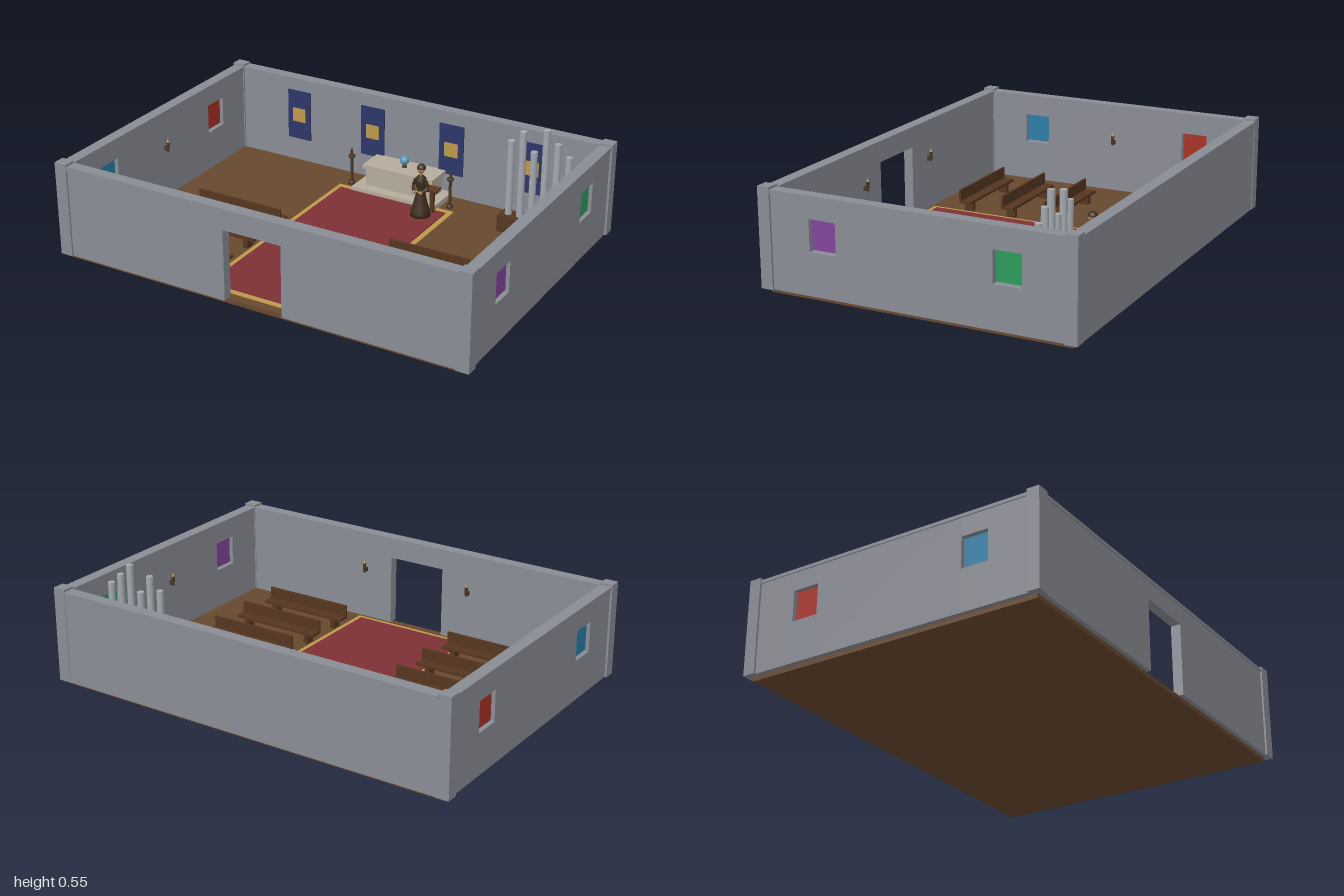
import * as THREE from 'three';

const mat = (color) => new THREE.MeshStandardMaterial({ color });
const stone = mat(0x8a8c94), wood = mat(0x67482e), darkWood = mat(0x553620), red = mat(0x7e3035),
  gold = mat(0xbd984c), marble = mat(0xb5ac9c), blue = mat(0x2c3668), metal = mat(0xa4a8ae),
  bronze = mat(0x4a3826), robe = mat(0x3c2c1c), skin = mat(0xb08058), orbBlue = mat(0x5a9ab8);

function add(parent, name, geometry, material, x = 0, y = 0, z = 0) {
  const m = new THREE.Mesh(geometry, material);
  m.name = name;
  m.position.set(x, y, z);
  parent.add(m);
  return m;
}

// Box given by its minimum and maximum on each axis
function box(parent, name, material, x0, x1, y0, y1, z0, z1) {
  return add(parent, name, new THREE.BoxGeometry(x1 - x0, y1 - y0, z1 - z0), material,
    (x0 + x1) / 2, (y0 + y1) / 2, (z0 + z1) / 2);
}

function group(parent, name, x = 0, y = 0, z = 0) {
  const g = new THREE.Group();
  g.name = name;
  g.position.set(x, y, z);
  parent.add(g);
  return g;
}

const lathe = (pts, sides = 12) =>
  new THREE.LatheGeometry(pts.map(([r, y]) => new THREE.Vector2(r, y)), sides);

function buildWalls(root) {
  const g = group(root, 'walls');
  const B = 0.02, T = 0.435, top = 0.45;
  box(g, 'backWall', stone, -0.945, 0.945, B, T, -0.715, -0.67);
  box(g, 'backCoping', stone, -0.945, 0.945, T, top, -0.72, -0.665);
  box(g, 'frontCoping', stone, -0.945, 0.945, T, top, 0.66, 0.715);
  box(g, 'doorLintel', stone, -0.14, 0.14, 0.35, T, 0.665, 0.71);
  for (const s of [-1, 1]) {
    const a = s < 0 ? -0.945 : 0.14;
    box(g, 'frontWall', stone, a, a + 0.805, B, T, 0.665, 0.71);

    // Side wall, split around its two window openings
    const x0 = s < 0 ? -0.99 : 0.945, x1 = x0 + 0.045;
    for (const [z0, z1] of [[-0.67, -0.48], [-0.355, 0.355], [0.48, 0.67]])
      box(g, 'sideWall', stone, x0, x1, B, T, z0, z1);
    const glass = s > 0 ? [0x2e9a5c, 0x82459a] : [0xa83226, 0x2b7ca6];
    [[-0.48, -0.355], [0.355, 0.48]].forEach(([z0, z1], i) => {
      box(g, 'wallBelowWindow', stone, x0, x1, B, 0.21, z0, z1);
      box(g, 'wallAboveWindow', stone, x0, x1, 0.35, T, z0, z1);
      box(g, 'windowPane', mat(glass[i]), s * 0.9675 - 0.008, s * 0.9675 + 0.008,
        0.217, 0.345, z0 + 0.006, z1 - 0.006);
    });
    box(g, 'sideCoping', stone, s * 0.9675 - 0.0275, s * 0.9675 + 0.0275, T, top, -0.67, 0.67);
    for (const t of [-1, 1])
      box(g, 'cornerPost', stone, s * 0.97 - 0.03, s * 0.97 + 0.03, B, 0.46, t * 0.69 - 0.028, t * 0.69 + 0.028);
  }
}

function buildPew(root, x, z) {
  const g = group(root, 'pew', x, 0.02, z);
  box(g, 'seat', darkWood, -0.22, 0.22, 0.045, 0.057, -0.03, 0.03);
  box(g, 'backrest', darkWood, -0.22, 0.22, 0.057, 0.11, 0.02, 0.031);
  for (const s of [-1, 1])
    box(g, 'leg', darkWood, s * 0.17 - 0.012, s * 0.17 + 0.012, 0, 0.045, -0.022, 0.022);
}

// Wall torch whose bracket points along local -z into the wall
function buildSconce(root, x, z, turn) {
  const g = group(root, 'wallTorch', x, 0.275, z);
  g.rotation.y = turn;
  box(g, 'bracket', bronze, -0.008, 0.008, -0.02, 0.0, -0.015, 0.005);
  add(g, 'torch', new THREE.CylinderGeometry(0.009, 0.005, 0.045, 8), bronze, 0, 0, 0.004);
  add(g, 'flame', new THREE.ConeGeometry(0.007, 0.02, 8), gold, 0, 0.032, 0.004);
}

function buildFigure(root) {
  const g = group(root, 'robedFigure', 0.19, 0.03, -0.405);
  add(g, 'robe', lathe([[0, 0], [0.048, 0], [0.045, 0.02], [0.026, 0.09], [0.019, 0.125],
    [0.024, 0.165], [0.026, 0.185], [0.012, 0.2], [0, 0.202]], 14), robe);
  add(g, 'belt', new THREE.TorusGeometry(0.02, 0.004, 6, 14), gold, 0, 0.122, 0).rotation.x = Math.PI / 2;
  add(g, 'neck', new THREE.CylinderGeometry(0.007, 0.008, 0.02, 8), skin, 0, 0.208, 0);
  add(g, 'head', new THREE.SphereGeometry(0.019, 12, 10), skin, 0, 0.23, 0);
  add(g, 'hair', new THREE.SphereGeometry(0.0215, 12, 8, 0, Math.PI * 2, 0, Math.PI * 0.5), robe, 0, 0.234, -0.003);
  for (const s of [-1, 1]) {
    const path = new THREE.CatmullRomCurve3([
      new THREE.Vector3(s * 0.024, 0.18, 0), new THREE.Vector3(s * 0.035, 0.14, 0.005),
      new THREE.Vector3(s * 0.018, 0.125, 0.028)]);
    add(g, 'sleeve', new THREE.TubeGeometry(path, 8, 0.009, 8), robe);
    add(g, 'hand', new THREE.SphereGeometry(0.009, 8, 6), skin, s * 0.016, 0.125, 0.03);
  }
}

export function createModel() {
  const root = new THREE.Group();
  root.name = 'chapel';

  box(root, 'floor', wood, -0.97, 0.97, 0, 0.02, -0.69, 0.69);
  buildWalls(root);

  // Carpet with a gold border
  box(root, 'carpetBorder', gold, -0.305, 0.305, 0.02, 0.024, -0.52, 0.645);
  box(root, 'carpet', red, -0.28, 0.28, 0.024, 0.028, -0.485, 0.62);

  // Altar on its step, with an orb on top
  const altar = group(root, 'altar');
  box(altar, 'altarStep', marble, -0.22, 0.22, 0.02, 0.045, -0.668, -0.48);
  box(altar, 'altarBody', marble, -0.172, 0.172, 0.045, 0.13, -0.66, -0.535);
  box(altar, 'altarSlab', marble, -0.185, 0.185, 0.13, 0.15, -0.668, -0.525);
  add(altar, 'orbStand', new THREE.CylinderGeometry(0.008, 0.013, 0.018, 10), bronze, 0, 0.158, -0.6);
  add(altar, 'orb', new THREE.SphereGeometry(0.022, 16, 12), orbBlue, 0, 0.185, -0.6);

  // Candle stands beside the altar
  for (const s of [-1, 1]) {
    const stand = group(root, 'candleStand', s * 0.263, 0.02, -0.56);
    add(stand, 'standPost', lathe([[0, 0], [0.016, 0], [0.015, 0.012], [0.007, 0.02], [0.007, 0.13],
      [0.016, 0.14], [0.016, 0.15], [0, 0.15]]), bronze);
    add(stand, 'candle', new THREE.CylinderGeometry(0.006, 0.006, 0.03, 8), bronze, 0, 0.165, 0);
  }

  // Banners on the back wall
  for (const x of [-0.62, -0.21, 0.21, 0.62]) {
    box(root, 'banner', blue, x - 0.063, x + 0.063, 0.135, 0.385, -0.67, -0.664);
    box(root, 'bannerPatch', gold, x - 0.035, x + 0.035, 0.225, 0.295, -0.664, -0.661);
  }

  // Pipe organ
  box(root, 'organBase', darkWood, 0.555, 0.91, 0.02, 0.1, -0.53, -0.45);
  [0.46, 0.515, 0.43, 0.545, 0.49, 0.44].forEach((top, i) =>
    add(root, 'organPipe', new THREE.CylinderGeometry(0.016, 0.016, top - 0.1, 12), metal,
      0.593 + i * 0.0555, (top + 0.1) / 2, -0.49));

  // Pews in three rows on each side
  for (const z of [0.025, 0.245, 0.467])
    for (const s of [-1, 1]) buildPew(root, s * 0.5, z);

  // Wall torches
  for (const s of [-1, 1]) {
    buildSconce(root, s * 0.932, 0, -s * Math.PI / 2);
    buildSconce(root, s * 0.28, 0.651, Math.PI);
  }

  // Reading stand and the figure in front of it
  box(root, 'lecternPost', darkWood, 0.213, 0.231, 0.028, 0.14, -0.469, -0.451);
  box(root, 'lecternTop', darkWood, 0.19, 0.255, 0.14, 0.15, -0.48, -0.44).rotation.x = 0.25;
  buildFigure(root);

  return root;
}
